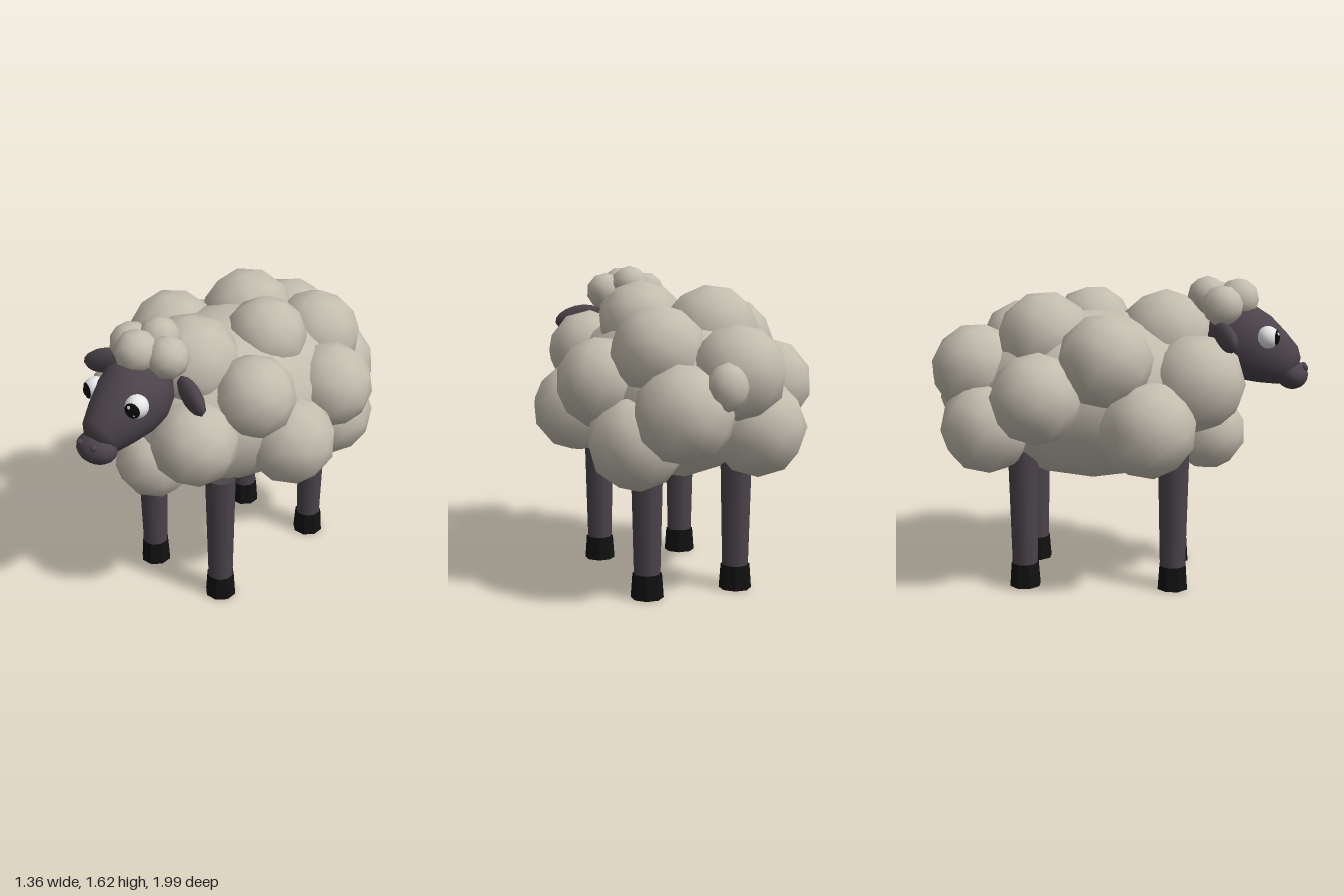
import * as THREE from 'three';

const mat = (name, color, extra = {}) => {
  const m = new THREE.MeshStandardMaterial({ color, ...extra });
  m.name = name;
  return m;
};

export function createModel() {
  const wool = mat('wool', 0xc4beb0);
  const skin = mat('dark skin', 0x4b444b);
  const hoofMat = mat('hoof', 0x111111, { flatShading: true });
  const black = mat('pupil black', 0x080808);
  const white = mat('eye white', 0xf2f2f2);

  const model = new THREE.Group();
  model.name = 'sheep';

  const add = (name, geometry, material, x, y, z, parent = model) => {
    const mesh = new THREE.Mesh(geometry, material);
    mesh.name = name;
    mesh.position.set(x, y, z);
    parent.add(mesh);
    return mesh;
  };
  const group = (name) => {
    const g = new THREE.Group();
    g.name = name;
    model.add(g);
    return g;
  };

  // Core of the body
  add('body', new THREE.IcosahedronGeometry(1, 2), wool, 0, 1, -0.13).scale.set(0.5, 0.45, 0.71);

  // Wool puffs: x, y, z, radius
  const fleece = group('fleece');
  const puff = new THREE.IcosahedronGeometry(1.015, 1);
  const puffs = [
    [0.01, 1.295, 0.25, 0.25], [0.16, 1.34, -0.15, 0.21], [-0.14, 1.3, -0.37, 0.245],
    [0.2, 1.23, -0.53, 0.235], [-0.13, 1.14, -0.73, 0.235], [0.15, 0.96, -0.745, 0.24],
    [0.34, 1.185, 0.16, 0.21], [0.45, 0.91, 0, 0.23], [0.43, 1.075, -0.35, 0.225],
    [0.31, 0.8, -0.52, 0.24], [0.2, 1, 0.45, 0.22], [-0.06, 0.81, 0.47, 0.2],
    [-0.385, 1.22, -0.04, 0.24], [-0.43, 0.89, 0.17, 0.245], [-0.45, 1.04, -0.38, 0.23],
    [-0.22, 1.09, 0.41, 0.25], [-0.27, 0.86, -0.66, 0.24],
  ];
  puffs.forEach(([x, y, z, r], i) => {
    const m = add('woolPuff', puff, wool, x, y, z, fleece);
    m.scale.setScalar(r);
    m.rotation.set(i * 1.3, i * 2.1, i * 0.7);
  });

  // Tail
  add('tail', puff, wool, 0, 1.1, -0.91).scale.set(0.1, 0.115, 0.085);

  // Topknot
  const topknot = group('topknot');
  [[0, 1.515, 0.465, 0.102], [0, 1.5, 0.625, 0.107], [-0.12, 1.475, 0.54, 0.105], [0.12, 1.475, 0.54, 0.105]]
    .forEach(([x, y, z, r], i) => {
      const m = add('topknotPuff', puff, wool, x, y, z, topknot);
      m.scale.setScalar(r);
      m.rotation.set(i, i * 0.8, 0);
    });

  // Head: tapered lathe tilted forward and down
  const head = group('head');
  const profile = [[0, 0], [0.1, 0.02], [0.165, 0.09], [0.195, 0.18], [0.187, 0.27], [0.15, 0.38], [0.112, 0.47], [0.07, 0.51], [0, 0.52]]
    .map(([r, t]) => new THREE.Vector2(r, t));
  const skull = add('skull', new THREE.LatheGeometry(profile, 18), skin, 0, 1.37, 0.47, head);
  skull.rotation.x = THREE.MathUtils.degToRad(117.4);
  skull.scale.x = 0.92;
  add('muzzle', new THREE.SphereGeometry(1, 16, 10), skin, 0, 1.105, 0.913, head).scale.set(0.112, 0.075, 0.084);

  // Paired ears, eyes and nostrils
  for (const s of [-1, 1]) {
    const ear = add('ear', new THREE.SphereGeometry(1, 12, 8), skin, s * 0.28, 1.332, 0.555, head);
    ear.scale.set(0.13, 0.066, 0.043);
    ear.rotation.set(0, -s * 0.38, -s * 0.25);

    const eye = new THREE.Group();
    eye.name = 'eye';
    eye.position.set(s * 0.136, 1.317, 0.773);
    eye.rotation.y = s * 0.3;
    head.add(eye);
    add('eyeball', new THREE.SphereGeometry(0.058, 16, 12), white, 0, 0, 0, eye);
    const cap = (name, r, angle, material, px, py) => {
      const m = add(name, new THREE.SphereGeometry(r, 16, 5, 0, Math.PI * 2, 0, angle), material, 0, 0, 0, eye);
      m.quaternion.setFromUnitVectors(new THREE.Vector3(0, 1, 0), new THREE.Vector3(px, py, 1).normalize());
    };
    cap('pupil', 0.061, 0.72, black, 0, 0);
    cap('glint', 0.063, 0.14, white, -0.2, 0.38);
    cap('glint', 0.063, 0.08, white, 0.25, -0.3);

    add('nostril', new THREE.SphereGeometry(0.016, 10, 8), skin, s * 0.045, 1.148, 0.976, head);
  }

  // Legs with hooves
  const legGeo = new THREE.CylinderGeometry(0.081, 0.066, 0.64, 10);
  const hoofGeo = new THREE.CylinderGeometry(0.074, 0.083, 0.125, 8);
  hoofGeo.rotateY(Math.PI / 8);
  for (const x of [-0.24, 0.24]) {
    for (const z of [0.3, -0.48]) {
      const leg = group(z > 0 ? 'frontLeg' : 'backLeg');
      add('shank', legGeo, skin, x, 0.42, z, leg);
      add('hoof', hoofGeo, hoofMat, x, 0.0625, z, leg);
    }
  }

  return model;
}
